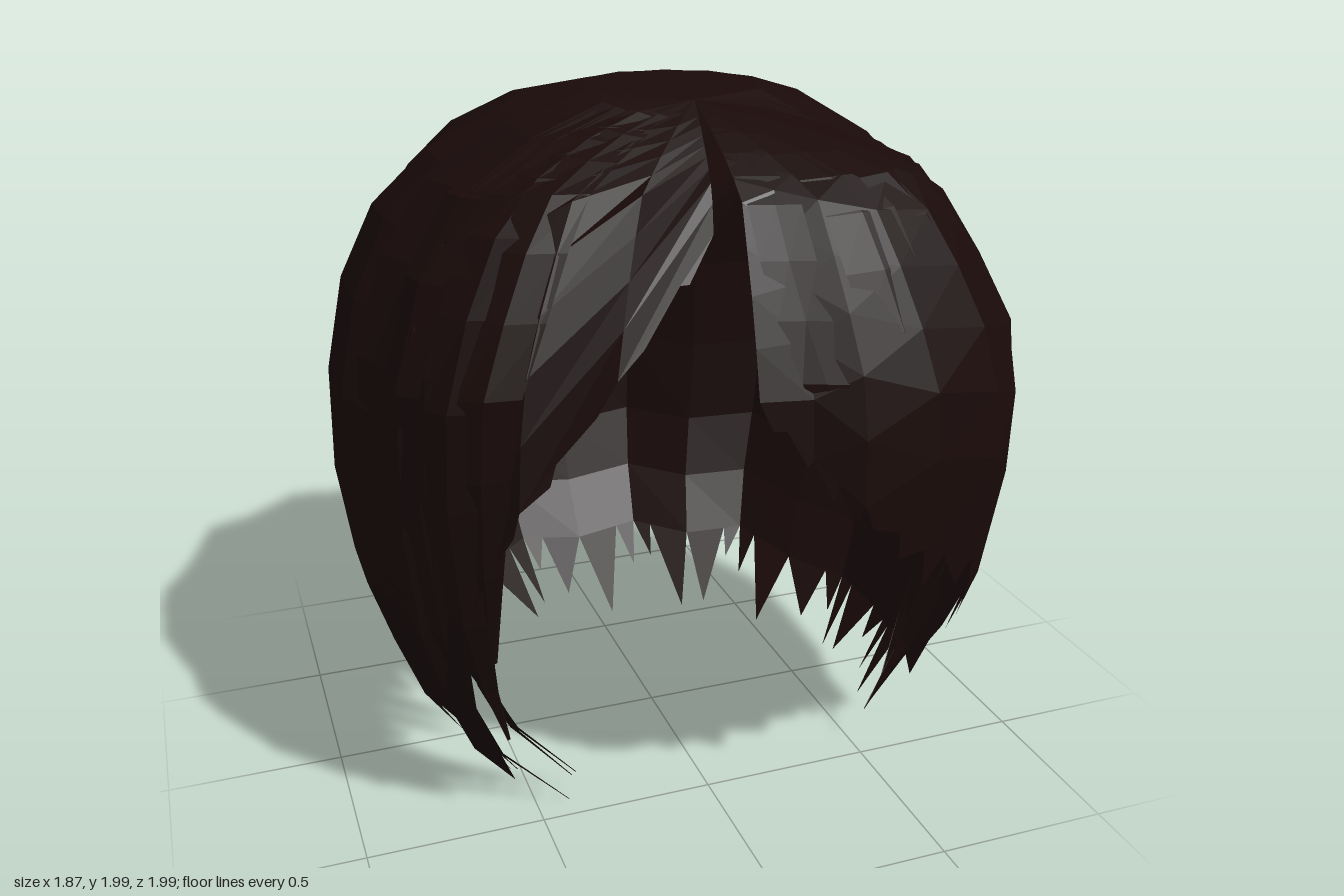
import * as THREE from 'three';

// Outline of the hair seen from above, parting to parting round the back:
// x, z, height of the lower edge, length of the points, share of the front profile
const COLUMNS = [
  [-0.05, 0.92, 1.35, 0.03, 1], [0.08, 0.95, 1.2, 0.05, 1], [0.2, 1, 1.08, 0.06, 1], [0.42, 0.96, 0.9, 0.08, 1],
  [0.65, 0.86, 0.78, 0.1, 1], [0.78, 0.74, 0.66, 0.12, 1], [0.87, 0.58, 0.33, 0.14, 1], [0.88, 0.3, 0.26, 0.13, 0.8],
  [0.93, 0.1, 0.25, 0.13, 0.3], [0.94, -0.2, 0.24, 0.13, 0], [0.8, -0.45, 0.24, 0.13, 0], [0.69, -0.75, 0.26, 0.13, 0],
  [0.46, -0.83, 0.24, 0.13, 0], [0.26, -1, 0.25, 0.13, 0], [-0.02, -0.95, 0.24, 0.13, 0], [-0.27, -0.99, 0.25, 0.13, 0],
  [-0.5, -0.8, 0.24, 0.13, 0], [-0.71, -0.71, 0.26, 0.13, 0], [-0.82, -0.35, 0.25, 0.13, 0], [-0.94, -0.1, 0.25, 0.13, 0],
  [-0.94, 0.15, 0.25, 0.13, 0], [-0.87, 0.3, 0.24, 0.14, 0], [-0.85, 0.5, 0.22, 0.15, 0.3], [-0.75, 0.65, 0.7, 0.1, 0.6],
  [-0.6, 0.75, 1.08, 0.03, 0.9], [-0.38, 0.81, 1.4, 0.02, 1], [-0.1, 0.77, 1.7, 0.01, 1], [-0.03, 0.9, 1.78, 0.01, 1],
];
// Crown-to-tip profiles: share of the outline radius, height, shift along z
const BACK = [
  [0, 1.97, 0], [0.3, 1.995, -0.08], [0.53, 1.91, -0.09], [0.76, 1.77, -0.06], [0.9, 1.58, -0.03],
  [0.985, 1.3, 0], [1, 0.95, 0], [0.95, 0.63, -0.05], [0.87, 0.4, -0.08], [0.78, 0.2, -0.05], [0.55, 0, 0],
];
const FRONT = [
  [0, 1.97, 0], [0.23, 1.925, 0], [0.45, 1.87, 0], [0.68, 1.8, 0], [0.83, 1.6, 0], [0.97, 1.37, 0], [1, 1.1, 0],
  ...BACK.slice(7),
];
const CROWN_Z = 0.33;
const ROWS = 10;
const mix = THREE.MathUtils.lerp;
const mixAll = (a, b, t) => a.map((v, k) => mix(v, b[k], t));

// Value of a table at a fractional row
function sample(table, p) {
  const i = Math.min(Math.floor(p), table.length - 2);
  return mixAll(table[i], table[i + 1], p - i);
}

// Profile of a column, blended between back and front
const profile = (c) => BACK.map((row, i) => mixAll(row, FRONT[i], sample(COLUMNS, c)[4]));

// Position along a column's profile at which the hair reaches height y
function reach(c, y) {
  const rows = profile(c);
  for (let i = 1; i < rows.length - 1; i++) {
    const a = rows[i][1], b = rows[i + 1][1];
    if (y >= b) return i + (a - y) / (a - b);
  }
  return rows.length - 1;
}

// Point on the hair surface; lift pushes it away from the crown axis
function surface(c, u, lift = 0) {
  const [x, z] = sample(COLUMNS, c);
  const [share, y, shift] = sample(profile(c), u);
  const f = share * (1 + lift);
  return [x * f, y, CROWN_Z + (z - CROWN_Z) * f + shift];
}

function makeMesh(name, triangles, material) {
  const geometry = new THREE.BufferGeometry();
  geometry.setAttribute('position', new THREE.Float32BufferAttribute(triangles.flat(2), 3));
  geometry.computeVertexNormals();
  const mesh = new THREE.Mesh(geometry, material);
  mesh.name = name;
  return mesh;
}

// One broad panel from the crown down, ending in two ragged points
function panel(i) {
  const tris = [];
  const ends = [0, 1].map((k) => reach(i + k, COLUMNS[i + k][2]));
  const at = (k, r) => surface(i + k, (ends[k] * r) / ROWS);
  for (let r = 0; r < ROWS; r++) {
    const a = at(0, r), b = at(1, r), a2 = at(0, r + 1), b2 = at(1, r + 1);
    if (r > 0) tris.push([a, a2, b]);
    tris.push([b, a2, b2]);
  }
  const split = 0.5 + 0.2 * Math.sin(i * 3.3);
  [[0, split], [split, 1]].forEach(([t0, t1], s) => {
    const edge = (t) => mixAll(at(0, ROWS), at(1, ROWS), t);
    const tm = mix(t0, t1, 0.5 + 0.35 * Math.sin(i * 1.9 + s));
    const [, , base, length] = sample(COLUMNS, i + tm);
    const tipY = base - length * (1 + 0.4 * Math.sin(i * 2.7 + s * 4.1));
    tris.push([edge(t0), surface(i + tm, reach(i + tm, tipY)), edge(t1)]);
  });
  return tris;
}

// A loose lock lying over the panels, narrowing to a point that tucks inwards
function lock([from, to, tip, tipY, lift, tuck]) {
  const tris = [], end = reach(tip, tipY), n = 10;
  const ring = (r) => {
    const t = r / n, taper = Math.pow(t, 4), u = end * t;
    const l = mix(from, tip, taper), h = mix(to, tip, taper), pull = tuck * taper;
    return [surface(l, u, 0.005 - pull), surface((l + h) / 2, u, lift - pull), surface(h, u, 0.005 - pull)];
  };
  for (let r = 0; r < n; r++) {
    const a = ring(r), b = ring(r + 1);
    for (let k = 0; k < 2; k++) {
      tris.push([a[k], b[k], a[k + 1]], [a[k + 1], b[k], b[k + 1]]);
    }
  }
  return tris;
}

// Loose locks: first column, last column, tip column, tip height, lift, tuck
const FRINGE = [
  [0, 1.5, 2, 1.03, 0.01, 0.02], [2, 3.4, 2.8, 0.9, 0.01, 0.04], [3.2, 4.6, 4.1, 0.75, 0.01, 0.12],
  [4.4, 5.6, 5.2, 0.58, 0.01, 0.12], [23, 24.2, 23.4, 0.6, 0.03, 0.02], [22.4, 23.6, 23, 0.3, 0.02, 0.05],
];
const SIDES = [
  [5.6, 6.8, 6, 0.12, 0.01, 0.12], [6.4, 7.4, 6.5, 0.15, 0.01, 0.02], [21.4, 22.4, 22.2, 0, 0.01, 0.12],
  [22, 22.8, 22.3, 0.07, 0.01, 0.25], [21.6, 22.5, 22, 0.06, 0.01, 0.3], [20.4, 21.4, 21.2, 0.06, 0.01, 0.02],
];

export function createModel() {
  const group = new THREE.Group();
  group.name = 'hair';
  const material = new THREE.MeshStandardMaterial({ color: 0x190a09, flatShading: true, side: THREE.DoubleSide });

  for (let i = 0; i < COLUMNS.length - 1; i++) group.add(makeMesh('hairPanel', panel(i), material));
  for (const l of FRINGE) group.add(makeMesh('fringeLock', lock(l), material));
  for (const l of SIDES) group.add(makeMesh('sideLock', lock(l), material));
  return group;
}
